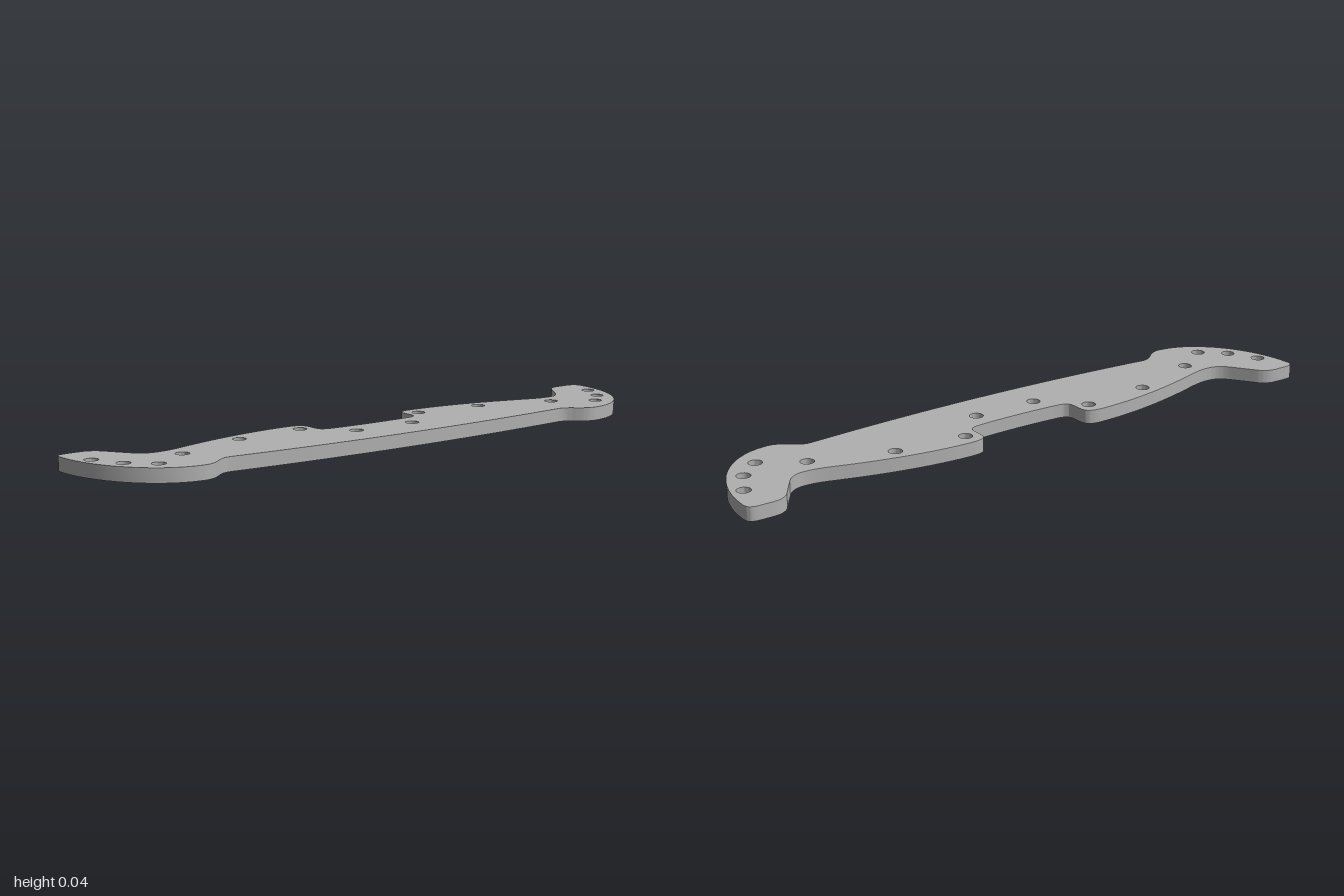
import * as THREE from 'three';
import { toCreasedNormals } from 'three/addons/utils/BufferGeometryUtils.js';

const THICKNESS = 0.043;
const HOLE_RADIUS = 0.021;

// Left half of the plate outline, from front centre round to back centre (y = -z)
function halfOutline() {
  const p = new THREE.Path();
  p.moveTo(0, -0.16);
  p.quadraticCurveTo(0.31, -0.16, 0.62, -0.133);                  // bowed front edge
  p.bezierCurveTo(0.655, -0.13, 0.67, -0.152, 0.685, -0.163);     // step into the end lobe
  p.bezierCurveTo(0.70, -0.175, 0.715, -0.185, 0.74, -0.185);
  p.bezierCurveTo(0.88, -0.183, 1.0, -0.02, 1.0, 0.155);          // outer sweep
  p.bezierCurveTo(1.0, 0.18, 0.985, 0.185, 0.96, 0.185);          // horn tip
  p.lineTo(0.925, 0.185);
  p.bezierCurveTo(0.89, 0.185, 0.872, 0.168, 0.86, 0.148);
  p.lineTo(0.82, 0.09);
  p.bezierCurveTo(0.805, 0.067, 0.785, 0.048, 0.75, 0.048);       // hollow behind the horn
  p.bezierCurveTo(0.715, 0.048, 0.69, 0.056, 0.66, 0.065);
  p.bezierCurveTo(0.52, 0.11, 0.37, 0.14, 0.24, 0.14);            // bowed back edge
  p.bezierCurveTo(0.195, 0.14, 0.185, 0.125, 0.185, 0.10);        // central notch
  p.lineTo(0.185, 0.07);
  p.bezierCurveTo(0.185, 0.05, 0.175, 0.041, 0.15, 0.038);
  p.quadraticCurveTo(0.08, 0.033, 0, 0.033);
  return p.getPoints(14);
}

export function createModel() {
  const group = new THREE.Group();
  group.name = 'mountingPlate';
  const grey = new THREE.MeshStandardMaterial({ color: 0xb0b0b0 });
  grey.name = 'plain grey';

  // Mirror the half outline to close the shape
  const half = halfOutline();
  const mirrored = half.slice(1, -1).reverse().map((v) => new THREE.Vector2(-v.x, v.y));
  const shape = new THREE.Shape([...half, ...mirrored]);

  // Bolt holes, mirrored in pairs
  const holes = [
    [0.95, 0.067], [0.902, -0.025], [0.829, -0.091], [0.705, -0.013],
    [0.46, 0.067], [0.229, 0.087], [0.107, -0.033],
  ];
  for (const [x, y] of holes) {
    for (const side of [1, -1]) {
      const hole = new THREE.Path();
      hole.absarc(side * x, y, HOLE_RADIUS, 0, Math.PI * 2, true);
      shape.holes.push(hole);
    }
  }

  // Flat plate lying on the ground
  const extruded = new THREE.ExtrudeGeometry(shape, {
    depth: THICKNESS, bevelEnabled: false, curveSegments: 14,
  });
  extruded.rotateX(-Math.PI / 2);
  const plate = new THREE.Mesh(toCreasedNormals(extruded, 0.6), grey);
  plate.name = 'plate';
  group.add(plate);
  return group;
}
